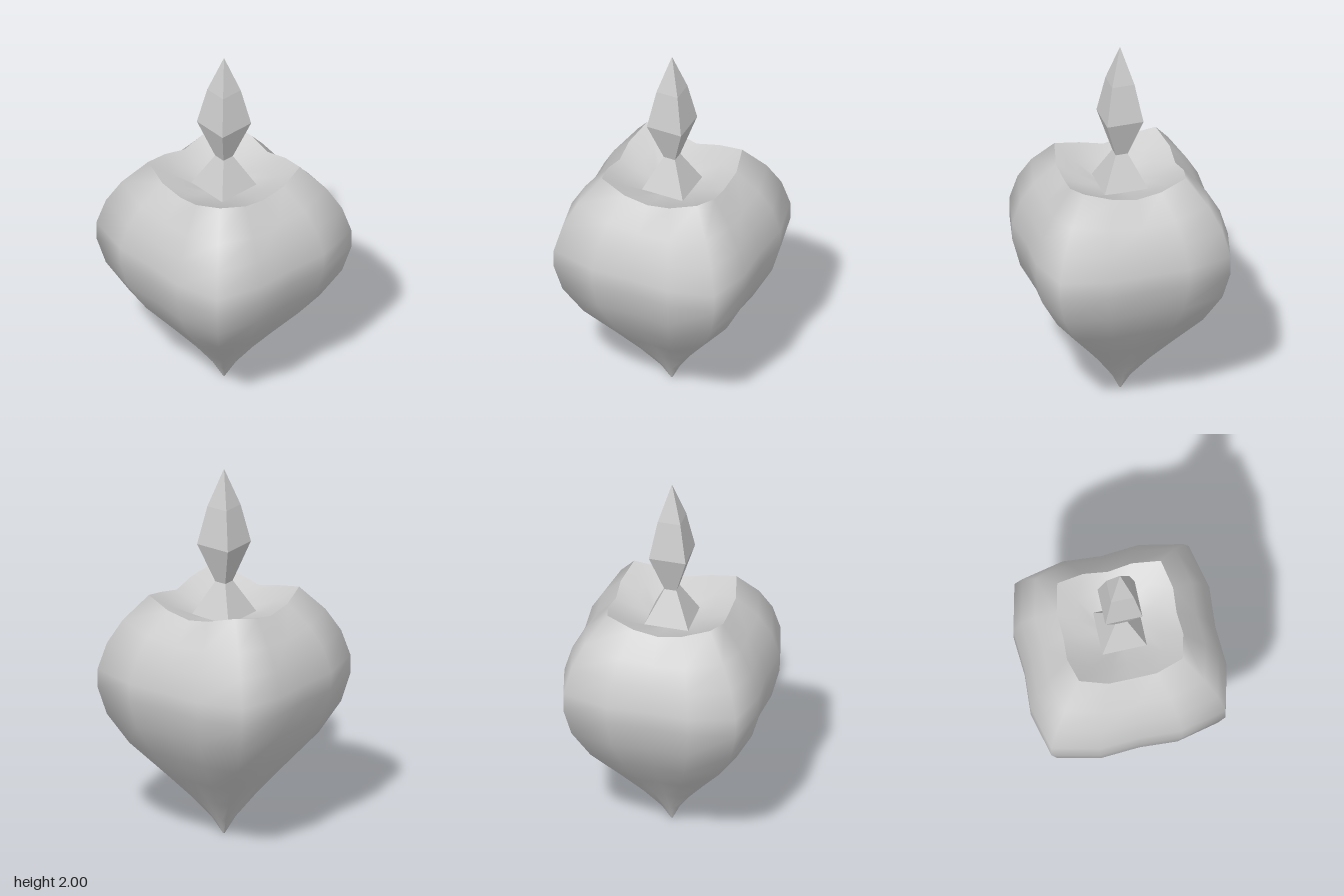
import * as THREE from 'three';

// One quarter of the four-lobed cross-section: [x, z, dip]
const QUARTER = [[0, 1, 0], [0.33, 0.795, 0.6], [0.55, 0.545, 1], [0.8, 0.325, 0.6]];
const Z_SCALE = 0.98;

// The quarter turned four times, counter-clockwise seen from above
const SECTION = [];
for (let q = 0; q < 4; q++) {
  const c = Math.round(Math.cos(q * Math.PI / 2)), s = Math.round(Math.sin(q * Math.PI / 2));
  for (const [x, z, dip] of QUARTER) SECTION.push([x * c + z * s, z * c - x * s, dip]);
}

// Skin over scaled copies of the section; rows are [radius, y, dip, diamond blend]
function loft(rows) {
  const n = SECTION.length, pos = [], index = [];
  for (const [r, y, dip, blend = 0] of rows) {
    for (const [x, z, d] of SECTION) {
      const k = 1 + blend * (1 / (Math.abs(x) + Math.abs(z)) - 1);
      pos.push(x * r * k, y - dip * d, z * r * k * Z_SCALE);
    }
  }
  for (let i = 0; i < rows.length - 1; i++) {
    for (let j = 0; j < n; j++) {
      const a = i * n + j, b = i * n + (j + 1) % n;
      index.push(a, b, b + n, a, b + n, a + n);
    }
  }
  const g = new THREE.BufferGeometry();
  g.setAttribute('position', new THREE.Float32BufferAttribute(pos, 3));
  g.setIndex(index);
  g.computeVertexNormals();
  return g;
}

// Four-sided faceted solid from a profile of [radius, y]
function faceted(profile) {
  const g = new THREE.LatheGeometry(profile.map(p => new THREE.Vector2(...p)), 4);
  return g.scale(1, 1, Z_SCALE);
}

export function createModel() {
  const group = new THREE.Group();
  const smooth = new THREE.MeshStandardMaterial({ color: 0xcccccc, side: THREE.DoubleSide });
  const flat = new THREE.MeshStandardMaterial({ color: 0xcccccc, flatShading: true });
  const add = (name, geometry, material) => {
    const mesh = new THREE.Mesh(geometry, material);
    mesh.name = name;
    group.add(mesh);
  };

  // Lobed heart-shaped body, pointed at the bottom
  add('body', loft([
    [0.004, 0, 0], [0.06, 0.09, 0], [0.17, 0.215, 0], [0.31, 0.355, 0], [0.485, 0.525, 0],
    [0.6, 0.69, 0], [0.648, 0.84, 0], [0.648, 0.94, 0.01], [0.6, 1.08, 0.025],
    [0.52, 1.2, 0.045], [0.385, 1.33, 0.065],
  ]), smooth);

  // Hollow at the top, sinking from the rim to the stem
  add('hollow', loft([
    [0.385, 1.33, 0.065], [0.27, 1.26, 0.03, 0.4], [0.165, 1.21, 0, 1],
  ]), smooth);

  // Tapering four-sided stem
  add('stem', faceted([[0.165, 1.21], [0.045, 1.385]]), flat);

  // Pointed four-sided flame
  add('flame', faceted([[0.045, 1.385], [0.138, 1.595], [0.085, 1.8], [0, 2]]), flat);

  return group;
}
